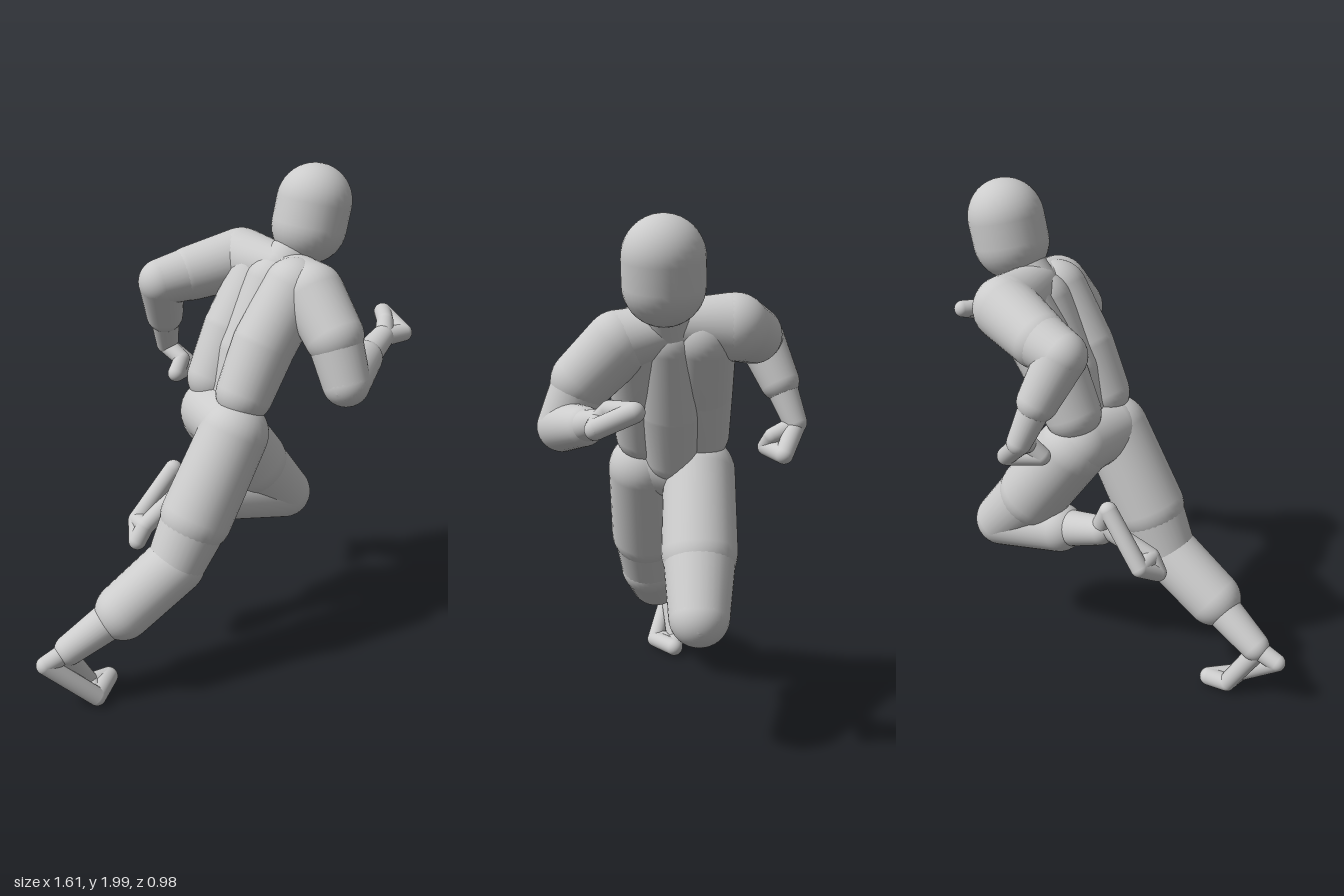
import * as THREE from 'three';

const material = new THREE.MeshStandardMaterial({ color: 0xcccccc });
const UP = new THREE.Vector3(0, 1, 0);

// Tapered capsule between two points [x, y, z, radius]
function capsule(name, a, b) {
  const start = new THREE.Vector3(a[0], a[1], a[2]);
  const dir = new THREE.Vector3(b[0], b[1], b[2]).sub(start);
  const length = dir.length();
  const tilt = Math.asin(THREE.MathUtils.clamp((a[3] - b[3]) / length, -1, 1));
  const points = [];
  const arc = (r, y, from, to) => {
    for (let i = 0; i <= 10; i++) {
      const t = from + (to - from) * i / 10;
      points.push(new THREE.Vector2(Math.max(0, r * Math.cos(t)), y + r * Math.sin(t)));
    }
  };
  arc(a[3], 0, -Math.PI / 2, tilt);
  arc(b[3], length, tilt, Math.PI / 2);
  const mesh = new THREE.Mesh(new THREE.LatheGeometry(points, 32), material);
  mesh.name = name;
  mesh.position.copy(start);
  mesh.quaternion.setFromUnitVectors(UP, dir.normalize());
  return mesh;
}

// Named group of capsules: each entry is [part name, start, end]
function bodyPart(name, pieces) {
  const group = new THREE.Group();
  group.name = name;
  for (const [part, a, b] of pieces) group.add(capsule(part, a, b));
  return group;
}

// Foot: heel, outer and inner ball joints, and a toe closing the triangle
function foot(name, ankle, heel, outer, inner, toe) {
  return bodyPart(name, [
    ['heel', ankle, heel],
    ['outerSole', heel, outer],
    ['innerSole', ankle, inner],
    ['ballOfFoot', outer, inner],
    ['outerToe', outer, toe],
    ['innerToe', inner, toe],
  ]);
}

// Hand: palm, folded fingers and thumb forming a closed triangle
function hand(name, wrist, knuckle, fingertip, thumb) {
  return bodyPart(name, [
    ['palm', wrist, knuckle],
    ['fingers', knuckle, fingertip],
    ['thumbBase', wrist, thumb],
    ['thumb', thumb, fingertip],
  ]);
}

export function createModel() {
  const model = new THREE.Group();
  model.name = 'runner';

  // Head and neck
  model.add(bodyPart('headAndNeck', [
    ['head', [0.437, 1.765, 0.035, 0.145], [0.457, 1.855, 0.035, 0.145]],
    ['neck', [0.31, 1.58, 0.02, 0.1], [0.41, 1.72, 0.035, 0.08]],
  ]));

  // Torso: central column with a parallel column on each side
  const torso = bodyPart('torso', [
    ['abdomen', [0.115, 1.1, 0.02, 0.105], [0.185, 1.3, 0.02, 0.13]],
    ['chest', [0.185, 1.3, 0.02, 0.13], [0.295, 1.55, 0.02, 0.12]],
    ['pelvis', [0.04, 1.045, 0.1, 0.125], [0.07, 1.045, -0.07, 0.13]],
  ]);
  for (const side of [-1, 1]) {
    const z = 0.02 + side * 0.105;
    torso.add(
      capsule('flank', [0.09, 1.18, z, 0.112], [0.175, 1.36, z, 0.122]),
      capsule('ribSide', [0.175, 1.36, z, 0.122], [0.3, 1.56, z + side * 0.01, 0.12]),
    );
  }
  torso.add(
    capsule('rightCollar', [0.33, 1.6, 0.03, 0.09], [0.34, 1.555, 0.2, 0.115]),
    capsule('leftCollar', [0.32, 1.61, 0.02, 0.09], [0.29, 1.605, -0.2, 0.122]),
  );
  model.add(torso);

  // Right arm, swung forward
  model.add(bodyPart('rightArm', [
    ['upperArm', [0.34, 1.55, 0.2, 0.12], [0.345, 1.42, 0.33, 0.112]],
    ['elbow', [0.345, 1.42, 0.33, 0.104], [0.355, 1.257, 0.402, 0.091]],
    ['forearm', [0.355, 1.257, 0.402, 0.091], [0.52, 1.293, 0.305, 0.07]],
    ['wrist', [0.52, 1.293, 0.305, 0.058], [0.66, 1.335, 0.24, 0.046]],
  ]));
  model.add(hand('rightHand', [0.67, 1.335, 0.24, 0.038], [0.77, 1.335, 0.24, 0.035],
    [0.765, 1.39, 0.115, 0.035], [0.705, 1.385, 0.2, 0.033]));

  // Left arm, swung back
  model.add(bodyPart('leftArm', [
    ['upperArm', [0.29, 1.605, -0.21, 0.122], [0.1, 1.555, -0.28, 0.108]],
    ['elbow', [0.1, 1.555, -0.28, 0.105], [-0.02, 1.53, -0.31, 0.092]],
    ['forearm', [-0.02, 1.53, -0.31, 0.092], [0.035, 1.37, -0.385, 0.076]],
    ['wrist', [0.035, 1.37, -0.385, 0.062], [0.08, 1.22, -0.445, 0.046]],
  ]));
  model.add(hand('leftHand', [0.08, 1.21, -0.448, 0.038], [0.175, 1.115, -0.4, 0.035],
    [0.06, 1.12, -0.34, 0.035], [0.1, 1.17, -0.36, 0.033]));

  // Right leg, pushing off behind
  model.add(bodyPart('rightLeg', [
    ['thigh', [0.035, 1.03, 0.135, 0.135], [-0.135, 0.715, 0.135, 0.142]],
    ['knee', [-0.135, 0.715, 0.135, 0.135], [-0.23, 0.53, 0.13, 0.115]],
    ['calf', [-0.23, 0.53, 0.13, 0.118], [-0.455, 0.385, 0.115, 0.113]],
    ['ankle', [-0.455, 0.385, 0.11, 0.08], [-0.67, 0.26, 0.07, 0.06]],
  ]));
  model.add(foot('rightFoot', [-0.69, 0.25, 0.068, 0.04], [-0.772, 0.222, 0.065, 0.036],
    [-0.59, 0.044, 0.127, 0.036], [-0.575, 0.05, 0.035, 0.036], [-0.493, 0.046, 0.035, 0.038]));

  // Left leg, knee driven forward with the foot tucked behind
  model.add(bodyPart('leftLeg', [
    ['thigh', [0.09, 1.025, -0.083, 0.138], [0.28, 0.765, -0.088, 0.144]],
    ['knee', [0.28, 0.765, -0.088, 0.138], [0.45, 0.577, -0.09, 0.113]],
    ['calf', [0.45, 0.577, -0.09, 0.113], [0.16, 0.633, -0.09, 0.102]],
    ['ankle', [0.16, 0.633, -0.09, 0.08], [-0.04, 0.69, -0.095, 0.06]],
  ]));
  model.add(foot('leftFoot', [-0.05, 0.72, -0.1, 0.04], [-0.09, 0.81, -0.115, 0.036],
    [-0.25, 0.61, -0.14, 0.036], [-0.255, 0.62, -0.06, 0.036], [-0.29, 0.56, -0.065, 0.036]));

  return model;
}
